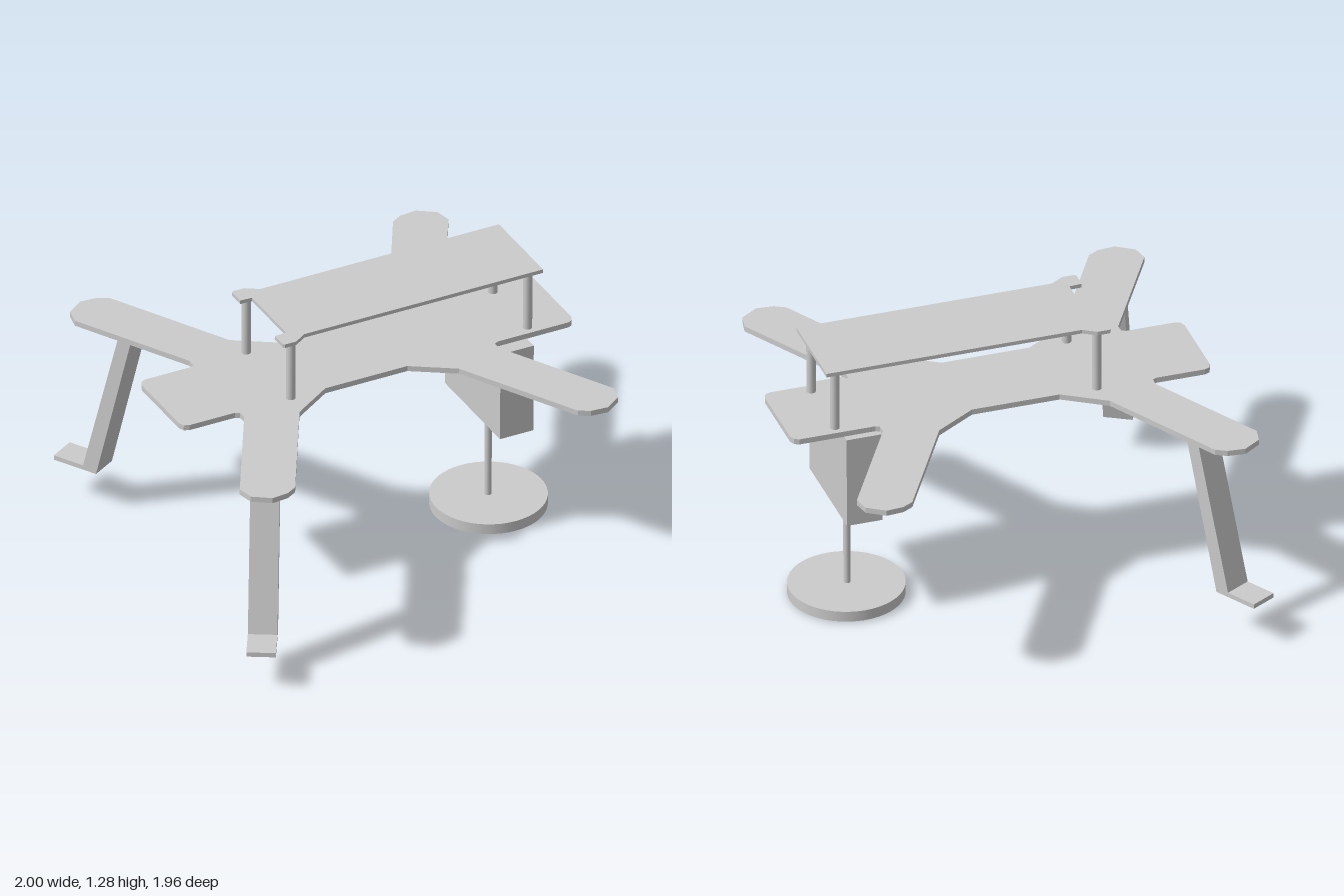
import * as THREE from 'three';

const grey = new THREE.MeshStandardMaterial({ color: 0xcccccc });
const CX = -0.037, CZ = -0.043; // centre of the frame plate

function add(parent, name, geometry, x = 0, y = 0, z = 0) {
  const mesh = new THREE.Mesh(geometry, grey);
  mesh.name = name;
  mesh.position.set(x, y, z);
  parent.add(mesh);
  return mesh;
}

// Flat plate from half an outline (x, z > 0), mirrored across z; its top lies at y = 0
function symmetricPlate(half, thickness) {
  const mirrored = half.map(([x, z]) => [x, -z]).reverse();
  return flatPlate([...half, ...mirrored], thickness);
}

function flatPlate(points, thickness, holes = []) {
  const shape = new THREE.Shape(points.map(([x, z]) => new THREE.Vector2(x, z)));
  for (const [x, z, r] of holes) {
    shape.holes.push(new THREE.Path().absarc(x, z, r, 0, Math.PI * 2, true));
  }
  return new THREE.ExtrudeGeometry(shape, { depth: thickness, bevelEnabled: false, curveSegments: 8 })
    .rotateX(Math.PI / 2);
}

// Z-shaped landing leg: drilled flange, slanted strut and foot, pointing along +x
function landingLeg(name) {
  const leg = new THREE.Group();
  leg.name = name;
  const w = 0.13, top = 0.938;
  const flange = flatPlate(
    [[0.77, -w / 2], [0.9, -w / 2], [0.9, w / 2], [0.77, w / 2]], 0.022, [[0.82, 0, 0.016]]);
  add(leg, name + 'Flange', flange, 0, top, 0);
  const profile = new THREE.Shape([
    [0.871, top], [0.937, top], [1.12, 0.202], [1.272, 0.202], [1.272, 0.18], [1.052, 0.18],
  ].map(([x, y]) => new THREE.Vector2(x, y)));
  const strut = new THREE.ExtrudeGeometry(profile, { depth: w, bevelEnabled: false });
  add(leg, name + 'Strut', strut.translate(0, 0, -w / 2));
  return leg;
}

export function createModel() {
  const model = new THREE.Group();
  model.name = 'droneFrame';
  const body = new THREE.Group();
  body.name = 'body';
  body.rotation.set(0.011, -0.007, 0);
  body.position.y = 0.003;
  model.add(body);

  // Main plate with four arms; both ends share the arm outline
  const arm = [
    [0.65, 0.212], [0.632, 0.222], [0.63, 0.26], [0.925, 0.785], [0.91, 0.86], [0.83, 0.915],
    [0.75, 0.908], [0.7, 0.88], [0.395, 0.335], [0.203, 0.212],
  ];
  const outline = [
    [1.033, 0.175], [1.022, 0.202], [1.0, 0.212], ...arm,
    ...arm.map(([x, z]) => [-x, z]).reverse(),
    [-0.875, 0.212], [-0.899, 0.202], [-0.91, 0.175],
  ];
  add(body, 'mainPlate', symmetricPlate(outline, 0.026), CX, 0.964, CZ);

  // Upper plate with two tabs at one end
  const upper = [
    [0.837, 0.21], [-0.345, 0.21], [-0.405, 0.248], [-0.46, 0.248], [-0.468, 0.24],
    [-0.468, 0.165], [-0.41, 0.162],
  ];
  add(body, 'upperPlate', symmetricPlate(upper, 0.018), 0, 1.273, CZ);

  // Standoffs between the plates
  for (const [x, z] of [[-0.412, 0.212], [0.785, 0.165]]) {
    for (const s of [1, -1]) {
      add(body, 'standoff', new THREE.CylinderGeometry(0.021, 0.021, 0.295, 20), x, 1.11, CZ + s * z);
    }
  }

  // Landing legs below two of the arms
  for (const s of [1, -1]) {
    const leg = landingLeg(s > 0 ? 'frontLeg' : 'backLeg');
    const pivot = new THREE.Group();
    pivot.position.set(CX, 0, CZ);
    pivot.rotation.y = -s * Math.PI * 2 / 3;
    leg.position.z = s * 0.305;
    pivot.add(leg);
    body.add(pivot);
  }

  // Hanging box with a rod and a round base
  const z = -0.027;
  add(body, 'equipmentBox', new THREE.BoxGeometry(0.165, 0.438, 0.525), 0.675, 0.72, z);
  add(body, 'rod', new THREE.CylinderGeometry(0.016, 0.016, 0.46, 20), 0.672, 0.28, z);
  add(body, 'baseDisc', new THREE.CylinderGeometry(0.261, 0.261, 0.05, 48), 0.675, 0.028, z);

  return model;
}
